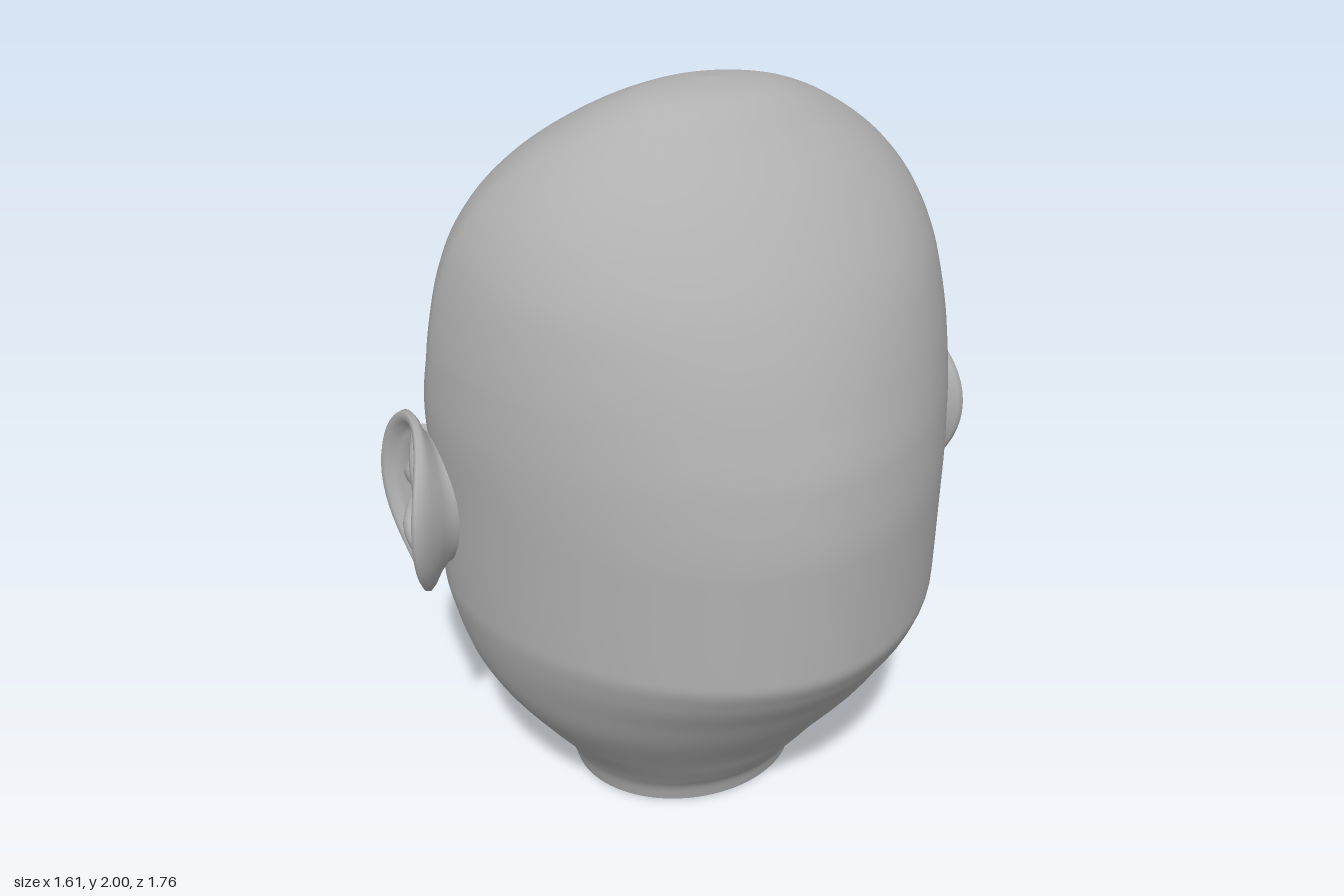
import * as THREE from 'three';

// The neck is open below, so the skin shows from inside too
const skin = new THREE.MeshStandardMaterial({ color: 0xb0b0b0, side: THREE.DoubleSide });
skin.name = 'grey skin';
const brown = new THREE.MeshStandardMaterial({ color: 0x6a4630 });
brown.name = 'brown iris';

// Smooth monotone interpolation through rows [y, value, value, ...]
function sample(rows, y, col) {
  const last = rows.length - 1;
  if (y <= rows[0][0]) return rows[0][col];
  if (y >= rows[last][0]) return rows[last][col];
  let i = 0;
  while (y > rows[i + 1][0]) i++;
  const slope = k => (rows[k + 1][col] - rows[k][col]) / (rows[k + 1][0] - rows[k][0]);
  const tangent = k => {
    if (k === 0) return slope(0);
    if (k === last) return slope(last - 1);
    const a = slope(k - 1), b = slope(k);
    return a * b <= 0 ? 0 : (2 * a * b) / (a + b);
  };
  const h = rows[i + 1][0] - rows[i][0], t = (y - rows[i][0]) / h;
  const t2 = t * t, t3 = t2 * t;
  return rows[i][col] * (2 * t3 - 3 * t2 + 1) + rows[i + 1][col] * (3 * t2 - 2 * t3)
    + h * (tangent(i) * (t3 - 2 * t2 + t) + tangent(i + 1) * (t3 - t2));
}

// Skin over a stack of closed rings
function loft(rings) {
  const n = rings[0].length, pos = [], index = [];
  for (const ring of rings) for (const p of ring) pos.push(...p);
  for (let i = 0; i < rings.length - 1; i++) {
    for (let j = 0; j < n; j++) {
      const a = i * n + j, b = i * n + (j + 1) % n;
      index.push(a, a + n, b, b, a + n, b + n);
    }
  }
  const g = new THREE.BufferGeometry();
  g.setAttribute('position', new THREE.Float32BufferAttribute(pos, 3));
  g.setIndex(index);
  g.computeVertexNormals();
  return g;
}

// Copy across x = 0 with the corner order reversed
function mirrored(geo) {
  const g = geo.clone().scale(-1, 1, 1), ix = g.index;
  for (let i = 0; i < ix.count; i += 3) {
    const a = ix.getX(i);
    ix.setX(i, ix.getX(i + 2));
    ix.setX(i + 2, a);
  }
  return g;
}

// Head: y, half width, back z, front z, z of the widest point, front and back roundness
const HEAD = [
  [0, 0.32, 0.42, -0.15, 0.14, 2, 2],
  [0.05, 0.335, 0.435, -0.31, 0.14, 1.85, 2],
  [0.1, 0.36, 0.47, -0.46, 0.14, 1.75, 2],
  [0.17, 0.405, 0.52, -0.585, 0.15, 1.7, 2],
  [0.23, 0.45, 0.56, -0.612, 0.16, 1.7, 2],
  [0.4, 0.57, 0.69, -0.592, 0.16, 1.65, 1.95],
  [0.5, 0.62, 0.76, -0.59, 0.15, 1.65, 1.9],
  [0.62, 0.655, 0.845, -0.575, 0.14, 1.65, 1.87],
  [0.7, 0.67, 0.88, -0.56, 0.13, 1.68, 1.85],
  [1, 0.68, 0.88, -0.54, 0.12, 1.7, 1.85],
  [1.2, 0.69, 0.858, -0.55, 0.11, 1.62, 1.85],
  [1.35, 0.68, 0.815, -0.575, 0.11, 1.45, 1.9],
  [1.475, 0.66, 0.77, -0.555, 0.11, 1.42, 1.95],
  [1.6, 0.625, 0.71, -0.48, 0.12, 1.45, 2],
  [1.7, 0.575, 0.645, -0.37, 0.14, 1.5, 2],
  [1.8, 0.49, 0.565, -0.22, 0.17, 1.6, 2],
  [1.9, 0.355, 0.465, -0.04, 0.21, 1.75, 2],
  [1.97, 0.21, 0.385, 0.11, 0.24, 1.9, 2],
  [1.99, 0.12, 0.335, 0.17, 0.25, 2, 2],
  [2, 0, 0.25, 0.25, 0.25, 2, 2]
];
// Nose: y, ridge z, half width
const NOSE = [
  [0.655, -0.56, 0.16], [0.69, -0.59, 0.17], [0.72, -0.71, 0.17], [0.76, -0.84, 0.168],
  [0.83, -0.88, 0.162], [0.92, -0.845, 0.14], [1.07, -0.74, 0.115], [1.21, -0.66, 0.105],
  [1.34, -0.605, 0.105], [1.46, -0.56, 0.12]
];

const bump = (v, c, s) => Math.exp(-(((v - c) / s) ** 2));

// Forward push of the face at a point
function relief(x, y, front) {
  const ax = Math.abs(x);
  let d = 0;
  if (y > 0.655 && y < 1.46) {
    // broad nose with a narrow point along its ridge
    const reach = Math.max(0, front - sample(NOSE, y, 1));
    d += reach * (0.85 * Math.exp(-((ax / sample(NOSE, y, 2)) ** 4)) + 0.15 * bump(ax, 0, 0.06));
    d -= 0.06 * bump(ax, 0.075, 0.03) * bump(y, 0.73, 0.02);
  }
  // lips, with corners turned slightly down
  const mouth = Math.exp(-((ax / 0.18) ** 4)), droop = ax * ax * 0.8;
  d += 0.05 * mouth * (bump(y, 0.537 - droop, 0.024) + bump(y, 0.475 - droop * 0.2, 0.024));
  d -= 0.012 * mouth * bump(y, 0.506 - droop * 0.5, 0.01);
  // eye sockets, temples beside the eyes, brows, cheekbones
  d -= 0.075 * bump(ax, 0.23, 0.08) * bump(y, 1.1, 0.1);
  d += 0.06 * bump(ax, 0.47, 0.1) * bump(y, 1.1, 0.17);
  d += 0.045 * bump(ax, 0.32, 0.14) * bump(y, 1.28, 0.08);
  d += 0.035 * bump(ax, 0.36, 0.12) * bump(y, 0.92, 0.1);
  return d;
}

function headRing(y) {
  const [w, back, front, mid, pf, pb] = [1, 2, 3, 4, 5, 6].map(c => sample(HEAD, y, c));
  const ring = [], n = 132;
  for (let j = 0; j < n; j++) {
    const t = (j / n) * Math.PI * 2, a = t - 0.55 * Math.sin(t);
    const s = Math.sin(a), c = Math.cos(a), e = 2 / (c > 0 ? pf : pb);
    const x = w * Math.sign(s) * Math.abs(s) ** e;
    let z = mid + (c > 0 ? front - mid : back - mid) * Math.abs(c) ** e;
    if (c > 0) z -= relief(x, y, front) * Math.min(1, c * 3);
    ring.push([x, y, z]);
  }
  return ring;
}

// Ear: bowl of egg-shaped rings, [x, size, z shift, how far top and bottom curl to the head]
const EAR = [
  [0.6, 0.72, 0, 0], [0.68, 0.72, 0, 0], [0.71, 0.82, 0, 0.01], [0.74, 0.94, 0, 0.03],
  [0.765, 1, 0, 0.045], [0.782, 0.985, 0, 0.05], [0.787, 0.93, 0, 0.05], [0.78, 0.87, 0, 0.05],
  [0.76, 0.81, 0, 0.045], [0.742, 0.74, -0.005, 0.035], [0.733, 0.6, -0.015, 0.02],
  [0.71, 0.48, -0.025, 0.01], [0.697, 0.25, -0.03, 0], [0.695, 0, -0.03, 0]
];
function earGeometry() {
  return loft(EAR.map(([x, k, shift, curl]) => {
    const ring = [];
    for (let j = 0; j < 48; j++) {
      const a = (j / 48) * Math.PI * 2, s = Math.sin(a), c = Math.cos(a);
      ring.push([x - curl * s * s + curl * 0.35 * c, 0.955 + 0.245 * k * s,
        0.088 + shift + 0.193 * k * c * (1 + 0.1 * s)]);
    }
    return ring;
  }));
}
function ridge(points, r) {
  const curve = new THREE.CatmullRomCurve3(points.map(p => new THREE.Vector3(...p)));
  return new THREE.TubeGeometry(curve, 32, r, 12);
}

export function createModel() {
  const model = new THREE.Group();
  const add = (parent, name, geo, mat) => {
    const m = new THREE.Mesh(geo, mat);
    m.name = name;
    parent.add(m);
  };

  // Head, rings packed closer towards the crown
  const rings = [], count = 240;
  for (let i = 0; i <= count; i++) rings.push(headRing(2 * Math.sin((i / count) * Math.PI / 2)));
  add(model, 'head', loft(rings), skin);

  // Eye: ball, lids with an almond opening, iris
  const place = g => g.translate(0.348, 1.1, -0.335);
  const gap = 1.08;
  const eye = {
    eyeball: [place(new THREE.SphereGeometry(0.157, 32, 24)), skin],
    eyelids: [place(new THREE.SphereGeometry(0.165, 48, 24, Math.PI * 1.5 + gap / 2, Math.PI * 2 - gap)
      .rotateZ(Math.PI / 2).rotateY(-0.1)), skin],
    iris: [place(new THREE.SphereGeometry(0.159, 32, 8, 0, Math.PI * 2, 0, 0.45)
      .scale(0.85, 1, 1.1).rotateX(-Math.PI / 2).rotateY(0.08)), brown]
  };
  // Ear: shell with soft folds sunk into the bowl
  const ear = {
    earShell: [earGeometry(), skin],
    earInnerFold: [ridge([[0.68, 1.11, 0.02], [0.715, 1.08, 0.11], [0.728, 0.98, 0.165], [0.728, 0.88, 0.15],
      [0.715, 0.81, 0.08], [0.715, 0.84, 0], [0.68, 0.9, -0.03]], 0.034), skin],
    earBar: [ridge([[0.7, 0.99, 0.17], [0.712, 1.02, 0.09], [0.705, 1, 0.01], [0.67, 0.95, -0.04]], 0.032), skin]
  };
  for (const [name, parts] of [['Eye', eye], ['Ear', ear]]) {
    for (const side of ['left', 'right']) {
      const group = new THREE.Group();
      group.name = side + name;
      for (const [part, [geo, mat]] of Object.entries(parts)) {
        add(group, part, side === 'left' ? geo : mirrored(geo), mat);
      }
      model.add(group);
    }
  }
  return model;
}
